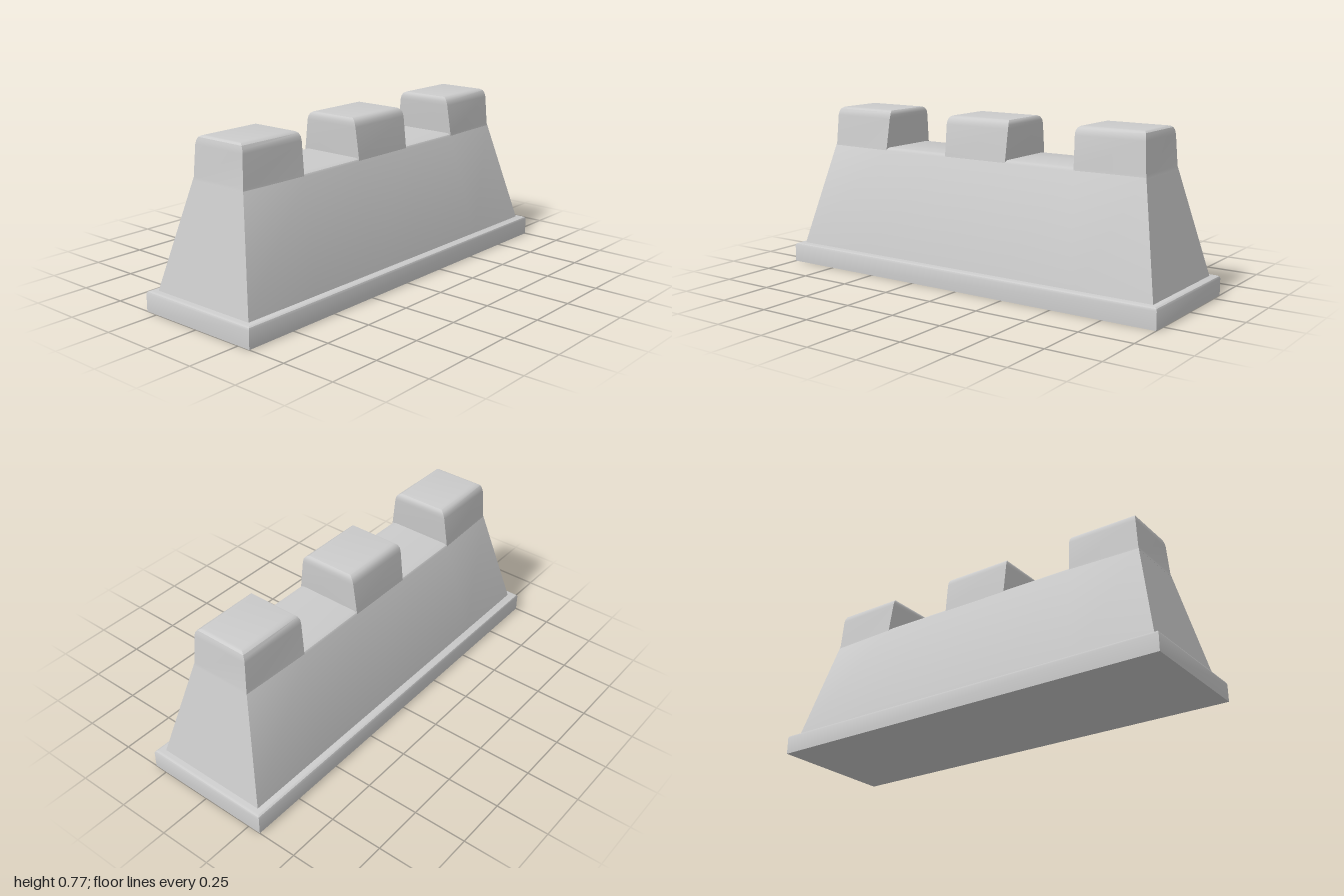
import * as THREE from 'three';
import { toCreasedNormals } from 'three/addons/utils/BufferGeometryUtils.js';

const material = new THREE.MeshStandardMaterial({ color: 0xcccccc });

// Skin over stacked rings of [x, y, z] points, capped at both ends.
function loft(name, rings) {
  const n = rings[0].length, last = (rings.length - 1) * n, index = [];
  for (let r = 0; r < rings.length - 1; r++) {
    for (let i = 0; i < n; i++) {
      const a = r * n + i, b = r * n + (i + 1) % n;
      index.push(a, b, b + n, a, b + n, a + n);
    }
  }
  for (let i = 1; i < n - 1; i++) {
    index.push(0, i + 1, i, last, last + i, last + i + 1);
  }
  const geometry = new THREE.BufferGeometry();
  geometry.setAttribute('position', new THREE.Float32BufferAttribute(rings.flat(2), 3));
  geometry.setIndex(index);
  const mesh = new THREE.Mesh(toCreasedNormals(geometry, 0.5), material);
  mesh.name = name;
  return mesh;
}

// Ring from stations [z, half width] listed from front to back.
function ring(y, stations) {
  const rightSide = stations.map(([z, w]) => [w, y, z]);
  const leftSide = stations.map(([z, w]) => [-w, y, z]).reverse();
  return [...rightSide, ...leftSide];
}

const block = (y, w, z) => ring(y, [[z, w], [-z, w]]);

export function createModel() {
  const group = new THREE.Group();
  group.name = 'crenellatedBarrier';

  // Plinth with a softened top edge
  group.add(loft('plinth', [
    block(0, 0.313, 1), block(0.08, 0.313, 1),
    block(0.089, 0.309, 0.996), block(0.093, 0.3, 0.987),
  ]));

  // Sloping wall, slightly narrower at its ends, with rounded notch floor edges
  const top = [[0.855, 0.148], [0.515, 0.163], [0.17, 0.163],
    [-0.17, 0.163], [-0.515, 0.163], [-0.855, 0.148]];
  const inset = (d) => top.map(([z, w]) => [z * 0.99, w - d]);
  group.add(loft('wall', [
    ring(0.09, top.map(([z]) => [z * 0.965 / 0.855, 0.275])),
    ring(0.58, top.map(([z, w]) => [z * 1.002, w + 0.002])),
    ring(0.588, inset(0.004)),
    ring(0.593, inset(0.018)),
  ]));

  // End merlons: rows of [y, outer z, outer half width, inner z, inner half width]
  const endRows = [
    [0.575, 0.858, 0.1505, 0.52, 0.1645],
    [0.592, 0.854, 0.147, 0.519, 0.162],
    [0.73, 0.845, 0.14, 0.512, 0.144],
    [0.748, 0.842, 0.136, 0.512, 0.139],
    [0.761, 0.838, 0.128, 0.516, 0.13],
    [0.768, 0.829, 0.115, 0.523, 0.117],
    [0.77, 0.82, 0.1, 0.533, 0.102],
  ];
  for (const side of [1, -1]) {
    group.add(loft(side > 0 ? 'frontMerlon' : 'backMerlon', endRows.map(([y, zo, wo, zi, wi]) =>
      ring(y, side > 0 ? [[zo, wo], [zi, wi]] : [[-zi, wi], [-zo, wo]]))));
  }

  // Middle merlon: rows of [y, half width, half length]
  const middleRows = [
    [0.575, 0.1645, 0.167], [0.592, 0.162, 0.167], [0.73, 0.144, 0.17],
    [0.748, 0.139, 0.169], [0.761, 0.13, 0.165], [0.768, 0.117, 0.158], [0.77, 0.102, 0.148],
  ];
  group.add(loft('middleMerlon', middleRows.map((row) => block(...row))));

  return group;
}
